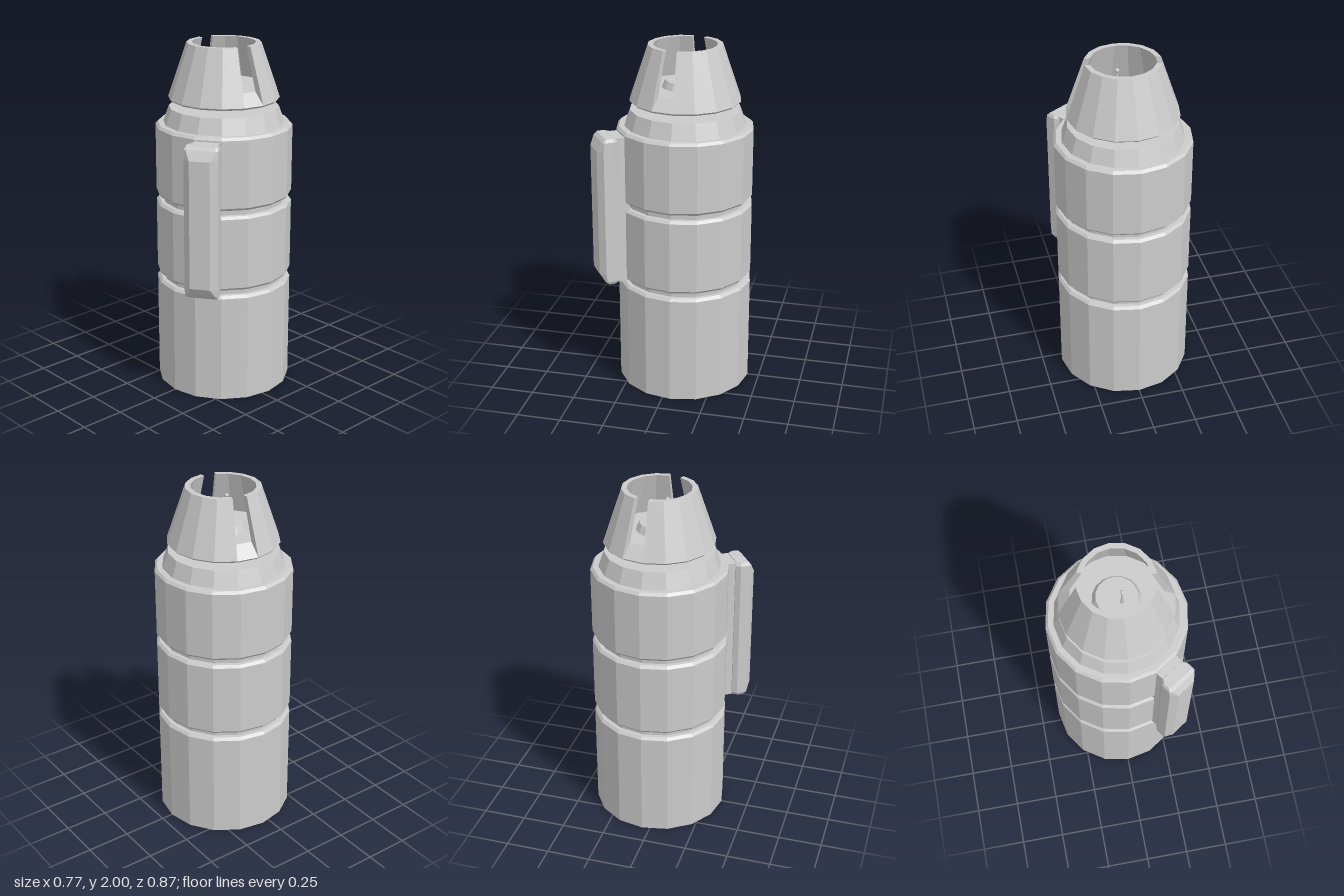
import * as THREE from 'three';

const SIDES = 16;
const STEP = Math.PI / 8;
const AXIS_Z = -0.046;

const grey = new THREE.MeshStandardMaterial({ color: 0xcccccc, flatShading: true });
const greyDouble = new THREE.MeshStandardMaterial({ color: 0xcccccc, flatShading: true, side: THREE.DoubleSide });

const points = (list) => list.map(([r, y]) => new THREE.Vector2(r, y));

function add(parent, name, geometry, material = grey) {
  const mesh = new THREE.Mesh(geometry, material);
  mesh.name = name;
  parent.add(mesh);
  return mesh;
}

// Loft upwards through rings of [x, y, z] points, with both ends capped
function loft(rings) {
  const n = rings[0].length;
  const index = [];
  for (let i = 0; i < rings.length - 1; i++) {
    for (let j = 0; j < n; j++) {
      const a = i * n + j, b = i * n + (j + 1) % n;
      index.push(a, a + n, b, b, a + n, b + n);
    }
  }
  const top = (rings.length - 1) * n;
  for (let j = 1; j < n - 1; j++) {
    index.push(0, j, j + 1, top, top + j + 1, top + j);
  }
  const geometry = new THREE.BufferGeometry();
  geometry.setAttribute('position', new THREE.Float32BufferAttribute(rings.flat(2), 3));
  geometry.setIndex(index);
  geometry.computeVertexNormals();
  return geometry;
}

// Eight-cornered grip section: z runs from inner, past the side edge, to the outer face
function gripSection(y, half, inner, side, outer, inset) {
  return [
    [-half + 0.02, inner], [half - 0.02, inner],
    [half, inner + 0.025], [half, side],
    [half - inset, outer], [-half + inset, outer],
    [-half, side], [-half, inner + 0.025],
  ].map(([x, z]) => [x - 0.008, y, z]);
}

export function createModel() {
  const model = new THREE.Group();
  model.name = 'canister';
  const core = new THREE.Group();
  core.name = 'core';
  core.position.z = AXIS_Z;
  model.add(core);

  // Body: three bevelled bands parted by grooves, then a sloped shoulder
  add(core, 'body', new THREE.LatheGeometry(points([
    [0, 0], [0.387, 0],
    [0.387, 0.622], [0.373, 0.638], [0.35, 0.638],
    [0.35, 0.67], [0.373, 0.67], [0.387, 0.685],
    [0.387, 1.09], [0.373, 1.105], [0.35, 1.105],
    [0.35, 1.138], [0.373, 1.138], [0.387, 1.153],
    [0.387, 1.535], [0.373, 1.55], [0.342, 1.55],
    [0.31, 1.64], [0, 1.64],
  ]), SIDES));

  // Neck between the shoulder and the nozzle
  const neck = add(core, 'neck', new THREE.CylinderGeometry(0.075, 0.075, 0.06, SIDES, 1, true));
  neck.position.y = 1.66;

  // Nozzle floor, with a sloped sill showing in the slots and a raised disc
  add(core, 'nozzleBase', new THREE.LatheGeometry(points([
    [0, 1.68], [0.3, 1.68], [0.313, 1.692], [0.306, 1.7],
    [0.25, 1.76], [0.131, 1.76], [0.11, 1.8], [0, 1.8],
  ]), SIDES));

  // Two nozzle walls, leaving a one-facet slot on each side
  const wall = points([[0.313, 1.692], [0.208, 2], [0.178, 2], [0.255, 1.745], [0.295, 1.692]]);
  for (const start of [Math.PI / 2, Math.PI * 1.5]) {
    add(core, 'nozzleWall', new THREE.LatheGeometry(wall, 7, start, 7 * STEP), greyDouble);
    for (const angle of [start, start + 7 * STEP]) {
      const end = add(core, 'nozzleWallEnd', new THREE.ShapeGeometry(new THREE.Shape(wall)), greyDouble);
      end.rotation.y = angle - Math.PI / 2;
    }
  }

  // Small igniter pin with a ball tip
  const pin = add(model, 'igniterPin', new THREE.CylinderGeometry(0.003, 0.011, 0.13, 8));
  pin.position.set(0.022, 1.86, -0.008);
  const tip = add(model, 'igniterTip', new THREE.SphereGeometry(0.012, 8, 6));
  tip.position.set(0.022, 1.927, -0.008);

  // Side grip set on one facet; local +z points outwards
  const grip = new THREE.Group();
  grip.name = 'sideGrip';
  grip.rotation.y = 1.5 * STEP;
  core.add(grip);
  const stem = add(grip, 'gripStem', new THREE.BoxGeometry(0.144, 0.856, 0.08));
  stem.position.set(-0.005, 1.098, 0.395);

  // Bar with a raised outer face that slopes down at both ends
  add(grip, 'gripBar', loft([
    gripSection(0.667, 0.085, 0.425, 0.485, 0.49, 0.008),
    gripSection(0.685, 0.094, 0.418, 0.5, 0.508, 0.012),
    gripSection(0.735, 0.094, 0.418, 0.505, 0.535, 0.037),
    gripSection(1.46, 0.094, 0.418, 0.505, 0.535, 0.037),
    gripSection(1.512, 0.094, 0.418, 0.5, 0.508, 0.012),
    gripSection(1.53, 0.085, 0.425, 0.485, 0.49, 0.008),
  ]));

  return model;
}
